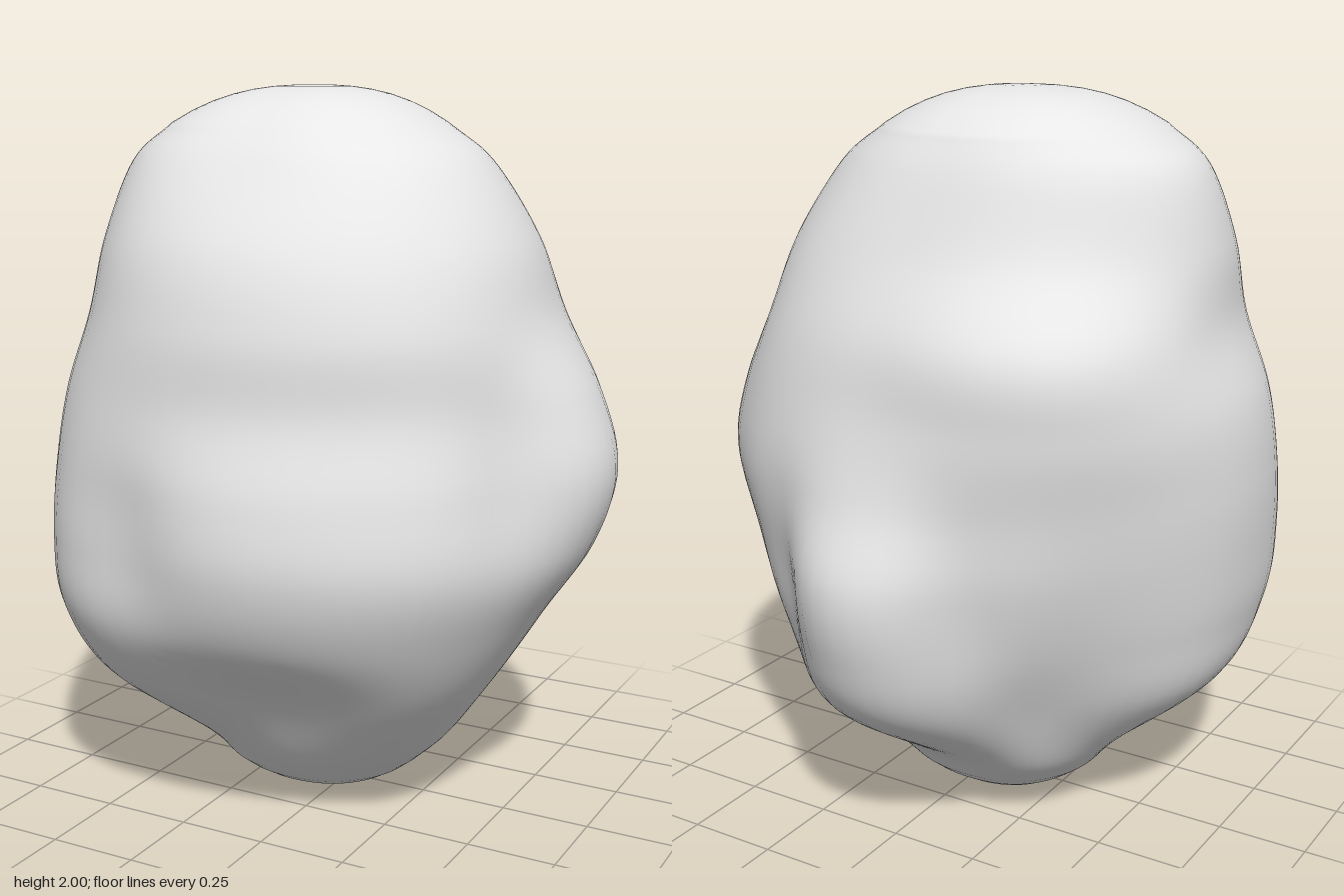
import * as THREE from 'three';
import { mergeVertices } from 'three/addons/utils/BufferGeometryUtils.js';

// Cross-sections from top to bottom: height, centre x, then the radius every
// 45 degrees, starting at +x and turning through the front (+z)
const SECTIONS = [
  [1.9, -.10, .37, .37, .34, .39, .37, .35, .33, .36],
  [1.8, -.09, .50, .50, .45, .50, .50, .43, .39, .45],
  [1.6, -.05, .59, .62, .61, .62, .61, .54, .48, .55],
  [1.4, 0, .61, .66, .68, .71, .69, .72, .58, .60],
  [1.2, 0, .72, .68, .70, .77, .76, .73, .63, .66],
  [1.0, 0, .78, .73, .755, .81, .78, .70, .69, .69],
  [0.8, 0, .73, .74, .765, .83, .77, .67, .765, .66],
  [0.6, 0, .60, .66, .69, .81, .74, .61, .74, .61],
  [0.4, 0, .47, .53, .50, .69, .67, .52, .64, .51],
  [0.2, -.05, .38, .38, .36, .39, .39, .39, .36, .37],
  [0.1, -.06, .29, .28, .27, .29, .29, .29, .27, .28],
];
const LAST = SECTIONS.length - 1;

// Hollows between the lumps: angle in degrees, height, angular width, height width, depth
const HOLLOWS = [
  [25, 1.00, 14, .25, .06],
  [112, .85, 14, .25, .05],
  [247, .75, 12, .25, .05],
  [293, .75, 12, .25, .06],
];

// Catmull-Rom step from b to c
function spline(a, b, c, d, t) {
  return b + 0.5 * t * (c - a + t * (2 * a - 5 * b + 4 * c - d + t * (3 * (b - c) + d - a)));
}

// Value k of a section, continued in a straight line past both ends
function entry(i, k) {
  if (i < 0) return 2 * SECTIONS[0][k] - SECTIONS[1][k];
  if (i > LAST) return 2 * SECTIONS[LAST][k] - SECTIONS[LAST - 1][k];
  return SECTIONS[i][k];
}

// Section at a fractional row; rows -1 to 0 and LAST to LAST + 1 are the rounded caps
function sectionAt(v) {
  const row = Math.max(0, Math.min(LAST, v));
  const i = Math.min(Math.floor(row), LAST - 1);
  let [y, centre, ...radii] = SECTIONS[0].map((_, k) =>
    spline(entry(i - 1, k), entry(i, k), entry(i + 1, k), entry(i + 2, k), row - i));
  const t = 1 - Math.abs(v - row);
  if (v < 0) y = 2 - 0.1 * t ** 2.5;
  if (v > LAST) y = 0.1 * t ** 2.5;
  return { y, centre, radii: radii.map((r) => r * t) };
}

// Radius of a section at a fraction of the full turn
function radiusAt({ y, radii }, turn) {
  const u = turn * 8, i = Math.floor(u);
  const r = (k) => radii[(k + 8) % 8];
  let radius = spline(r(i - 1), r(i), r(i + 1), r(i + 2), u - i);
  for (const [angle, height, wa, wy, depth] of HOLLOWS) {
    const da = (turn * 360 - angle) / wa, dy = (y - height) / wy;
    radius -= depth * Math.exp(-da * da - dy * dy);
  }
  return radius;
}

function boulderGeometry(rows = 84, cols = 80) {
  const positions = [], indices = [];
  for (let i = 0; i <= rows; i++) {
    const pole = i === 0 || i === rows;
    const section = sectionAt((i / rows) * (LAST + 2) - 1);
    for (let j = 0; j < cols; j++) {
      const a = (j / cols) * Math.PI * 2;
      const r = pole ? 0 : radiusAt(section, j / cols);
      positions.push(section.centre + r * Math.cos(a), section.y, r * Math.sin(a));
      if (i === rows) continue;
      const p = i * cols + j, q = i * cols + (j + 1) % cols;
      if (i > 0) indices.push(p, q, p + cols);
      if (i < rows - 1) indices.push(q, q + cols, p + cols);
    }
  }
  const geometry = new THREE.BufferGeometry();
  geometry.setAttribute('position', new THREE.Float32BufferAttribute(positions, 3));
  geometry.setIndex(indices);
  // join each pole into one point so the shading stays smooth
  const merged = mergeVertices(geometry, 1e-5);
  merged.computeVertexNormals();
  return merged;
}

export function createModel() {
  const group = new THREE.Group();
  group.name = 'rock';

  const stone = new THREE.MeshStandardMaterial({ color: 0xe7e7e7 });
  stone.name = 'pale stone';

  // One lumpy boulder, smooth all round
  const boulder = new THREE.Mesh(boulderGeometry(), stone);
  boulder.name = 'boulder';
  group.add(boulder);
  return group;
}
